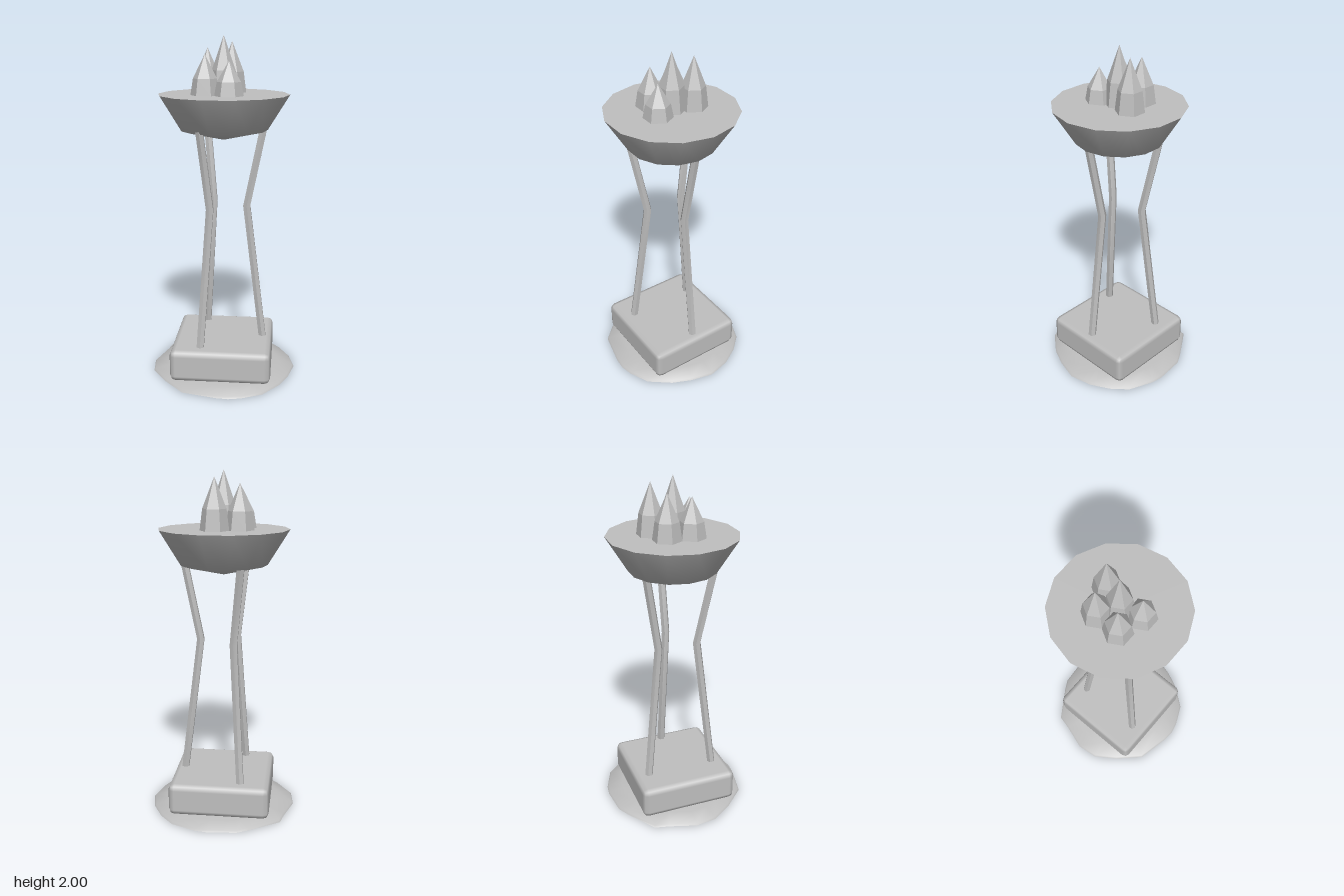
import * as THREE from 'three';
import { toCreasedNormals } from 'three/addons/utils/BufferGeometryUtils.js';
import { RoundedBoxGeometry } from 'three/addons/geometries/RoundedBoxGeometry.js';

export function createModel() {
  const group = new THREE.Group();
  const stone = new THREE.MeshStandardMaterial({ color: 0xbfbfbf });
  stone.name = 'grey stone';
  const flatStone = stone;

  const add = (name, geometry) => {
    const mesh = new THREE.Mesh(geometry, flatStone);
    mesh.name = name;
    group.add(mesh);
    return mesh;
  };

  // Irregular low mound: one outline repeated at several scales and heights
  const outline = [
    [0.43, -0.015], [0.4, -0.15], [0.34, -0.26], [0.26, -0.35], [0.115, -0.41],
    [0.045, -0.42], [-0.125, -0.405], [-0.19, -0.37], [-0.365, -0.255], [-0.385, -0.17],
    [-0.435, -0.015], [-0.42, 0.115], [-0.335, 0.24], [-0.21, 0.37], [-0.01, 0.415],
    [0.06, 0.42], [0.13, 0.405], [0.25, 0.35], [0.345, 0.23], [0.395, 0.12],
  ];
  const rings = [[0, 0.002], [1, 0.002], [0.98, 0.012], [0.78, 0.034], [0, 0.045]];
  const n = outline.length;
  const positions = [];
  const indices = [];
  rings.forEach(([scale, y], i) => outline.forEach(([x, z], j) => {
    positions.push(x * scale, y, z * scale);
    if (i === rings.length - 1) return;
    const k = (j + 1) % n;
    const a = i * n + j, b = i * n + k, c = b + n, d = a + n;
    if (scale > 0) indices.push(a, b, c);
    if (rings[i + 1][0] > 0) indices.push(a, c, d);
  }));
  const mound = new THREE.BufferGeometry();
  mound.setAttribute('position', new THREE.Float32BufferAttribute(positions, 3));
  mound.setIndex(indices);
  add('groundMound', toCreasedNormals(mound, 0.9));

  // Bevelled square plinth
  add('plinth', new RoundedBoxGeometry(0.59, 0.19, 0.59, 1, 0.034)).position.set(-0.003, 0.12, 0);

  // Three legs pinched inward at the middle
  const legPath = [[0.2, 0.239], [1.03, 0.137], [1.5, 0.232]];
  for (let i = 0; i < 3; i++) {
    const leg = new THREE.CylinderGeometry(0.024, 0.024, 2, 6, 2);
    const p = leg.attributes.position;
    for (let v = 0; v < p.count; v++) {
      const [y, r] = legPath[Math.round(p.getY(v)) + 1];
      p.setXYZ(v, p.getX(v) + r, y, p.getZ(v));
    }
    const mesh = add('leg' + (i + 1), toCreasedNormals(leg, 0.5));
    mesh.rotation.y = (i * Math.PI * 2) / 3;
    mesh.position.x = -0.005;
  }

  // Shallow bowl with a flat filled top
  const bowlProfile = [[0, 1.415], [0.252, 1.475], [0.375, 1.675], [0, 1.675]]
    .map(([r, y]) => new THREE.Vector2(r, y));
  const bowl = new THREE.LatheGeometry(bowlProfile, 14, Math.PI / 2);
  add('bowl', toCreasedNormals(bowl, 1.0)).position.set(-0.004, 0, -0.004);

  // Six-sided pointed flames: x, z, tip height
  const flames = [
    [-0.004, -0.004, 2.0], [-0.102, -0.073, 1.93], [0.034, -0.118, 1.965],
    [-0.102, 0.067, 1.9], [0.035, 0.108, 1.865],
  ];
  flames.forEach(([x, z, tip], i) => {
    const base = 1.67;
    const shoulder = base + (tip - base) * 0.42;
    const profile = [[0.083, base], [0.067, shoulder], [0, tip]]
      .map(([r, y]) => new THREE.Vector2(r, y));
    const flame = new THREE.LatheGeometry(profile, 6, Math.PI / 2);
    add('flame' + (i + 1), toCreasedNormals(flame, 0.1)).position.set(x, 0, z);
  });

  return group;
}
